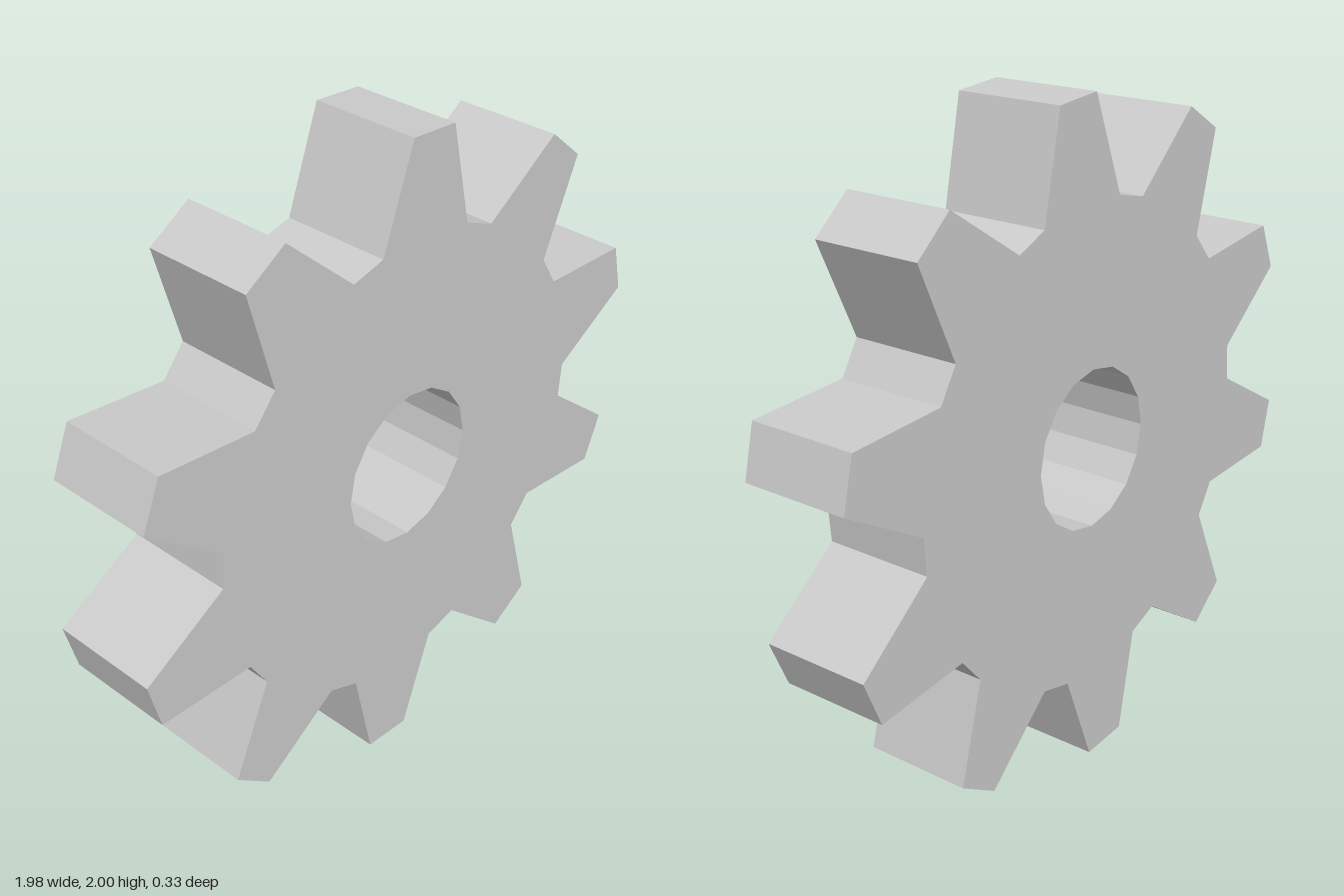
import * as THREE from 'three';

const TEETH = 10, TIP = 1, ROOT = 0.715, BORE = 0.238, DEPTH = 0.333;

// Point at a clockwise angle (degrees) from straight up
function polar(radius, degrees) {
  const a = THREE.MathUtils.degToRad(degrees);
  return new THREE.Vector2(radius * Math.sin(a), radius * Math.cos(a));
}

export function createModel() {
  const group = new THREE.Group();
  group.name = 'gear';

  // Each tooth: two tip corners, then two root corners, a quarter pitch apart
  const pitch = 360 / TEETH;
  const outline = [];
  for (let i = 0; i < TEETH; i++) {
    [TIP, TIP, ROOT, ROOT].forEach((r, k) => outline.push(polar(r, (i + k / 4) * pitch)));
  }
  const shape = new THREE.Shape(outline);

  // Sixteen-sided bore, wound against the outline so its walls face the axis
  const bore = [];
  for (let i = 0; i < 16; i++) bore.push(polar(BORE, -i * 22.5));
  shape.holes.push(new THREE.Path(bore));

  const geometry = new THREE.ExtrudeGeometry(shape, { depth: DEPTH, bevelEnabled: false });
  geometry.translate(0, 1, -DEPTH / 2);

  const wheel = new THREE.Mesh(
    geometry,
    new THREE.MeshStandardMaterial({ color: 0xcccccc, flatShading: true })
  );
  wheel.name = 'toothedWheel';
  group.add(wheel);
  return group;
}
